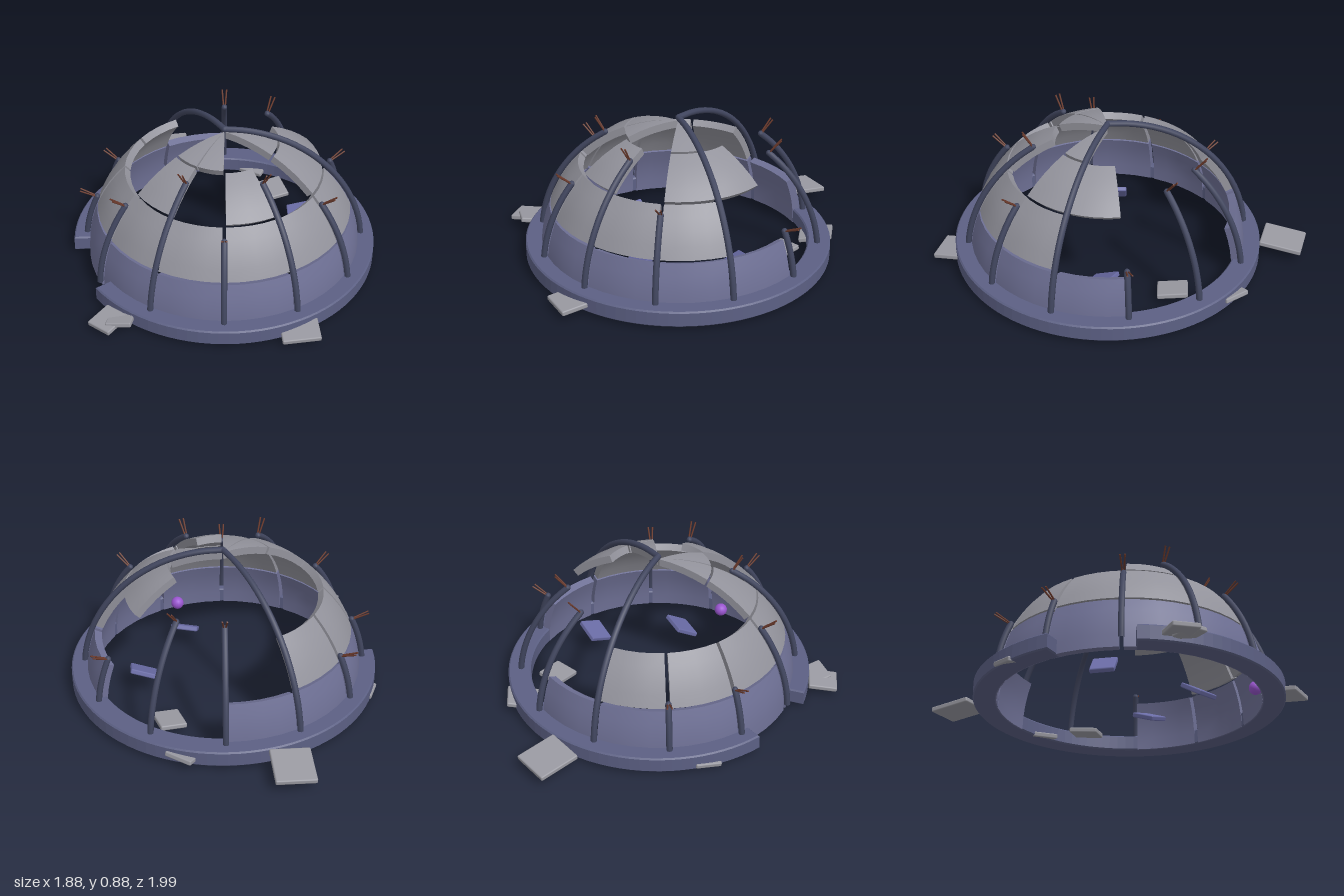
import * as THREE from 'three';
import { RoundedBoxGeometry } from 'three/addons/geometries/RoundedBoxGeometry.js';

const RAD = Math.PI / 180;
const BASE_Y = 0.03;
const mat = (color) => new THREE.MeshStandardMaterial({ color });

// Point on the dome: azimuth 0 = +x, 90 = +z (front); latitude 90 = apex
function domePoint(az, lat, r) {
  const c = Math.cos(lat * RAD) * r;
  return new THREE.Vector3(c * Math.cos(az * RAD), BASE_Y + r * Math.sin(lat * RAD), c * Math.sin(az * RAD));
}

// Thick curved shell panel: a box bent onto the sphere
function panelGeometry(az0, az1, lat0, lat1, r0, r1) {
  const g = new THREE.BoxGeometry(1, 1, 1, 4, 4, 1);
  const p = g.attributes.position;
  for (let i = 0; i < p.count; i++) {
    const v = domePoint(
      THREE.MathUtils.lerp(az1, az0, p.getX(i) + 0.5),
      THREE.MathUtils.lerp(lat0, lat1, p.getY(i) + 0.5),
      THREE.MathUtils.lerp(r0, r1, p.getZ(i) + 0.5));
    p.setXYZ(i, v.x, v.y, v.z);
  }
  g.computeVertexNormals();
  return g;
}

export function createModel() {
  const model = new THREE.Group();
  const dome = new THREE.Group();
  dome.name = 'brokenDome';
  dome.position.set(0.03, 0, -0.075);
  model.add(dome);

  const ringMat = mat(0x5c6084), ribMat = mat(0x41465f), rodMat = mat(0x6b3a2c);
  const lowMat = mat(0x6f7196), highMat = mat(0x93939c);
  const slabMat = mat(0x9a9aa2), blueMat = mat(0x6a6ca6), orbMat = mat(0x9a55d0);

  const add = (parent, name, geometry, material) => {
    const m = new THREE.Mesh(geometry, material);
    m.name = name;
    parent.add(m);
    return m;
  };

  // Foundation ring with a missing piece at the front
  const bevel = 0.008;
  const arc = new THREE.Shape();
  const a0 = 146 * RAD, a1 = 474 * RAD;
  arc.absarc(0, 0, 0.91 - bevel, a0, a1, false);
  arc.absarc(0, 0, 0.775 + bevel, a1, a0, true);
  arc.closePath();
  const ringGeo = new THREE.ExtrudeGeometry(arc, {
    depth: 0.095 - 2 * bevel, bevelThickness: bevel, bevelSize: bevel, bevelSegments: 1, curveSegments: 44,
  });
  ringGeo.rotateX(Math.PI / 2);
  add(dome, 'foundationRing', ringGeo, ringMat).position.y = 0.122 - bevel;

  // Surviving shell panels: tiers present in each 30 degree sector
  const tiers = {
    0: [0, 1], 30: [0, 1, 2], 60: [0, 1, 3], 90: [0, 1, 2, 3], 120: [0, 1], 150: [0, 1],
    180: [0, 1], 210: [0], 300: [0, 2], 330: [0, 1, 2, 3],
  };
  for (const [key, list] of Object.entries(tiers)) {
    const az = Number(key);
    for (const t of list) {
      const top = t === 3 ? 89.5 : (t + 1) * 22.5 - 0.5;
      const geo = panelGeometry(az + 0.9, az + 29.1, t * 22.5 + (t ? 0.5 : 0), top, 0.775, 0.82);
      add(dome, 'shellPanel', geo, t ? highMat : lowMat);
    }
  }

  // Ribs: latitude at which each one ends (90 = reaches the apex)
  const ribEnds = [40, 59, 39, 59, 39, 25, 25, 90, 51, 51, 25, 90];
  ribEnds.forEach((end, i) => {
    const az = i * 30;
    const rib = new THREE.Group();
    rib.name = 'rib';
    dome.add(rib);
    const pts = [];
    for (let k = 0; k <= 10; k++) pts.push(domePoint(az, 3 + (end - 3) * k / 10, 0.838));
    add(rib, 'ribBeam', new THREE.TubeGeometry(new THREE.CatmullRomCurve3(pts), 24, 0.018, 8), ribMat);
    add(rib, 'ribTip', new THREE.SphereGeometry(0.018, 8, 6), ribMat).position.copy(pts[10]);
    if (end === 90) return;
    // Bare reinforcing rods sticking out of the broken end
    const out = domePoint(az, end, 1).sub(new THREE.Vector3(0, BASE_Y, 0));
    const side = new THREE.Vector3(-Math.sin(az * RAD), 0, Math.cos(az * RAD));
    for (const s of [-1, 1]) {
      const rod = add(rib, 'reinforcingRod', new THREE.CylinderGeometry(0.005, 0.005, 0.12, 6), rodMat);
      rod.position.copy(pts[10]).addScaledVector(out, 0.05).addScaledVector(side, s * 0.009);
      rod.quaternion.setFromUnitVectors(new THREE.Vector3(0, 1, 0), out.clone().addScaledVector(side, s * 0.08).normalize());
    }
  });

  // Fallen slabs: x, y, z, width, depth, yaw, pitch, roll, material
  const slabs = [
    [-0.775, 0.09, -0.75, 0.25, 0.23, -0.94, 0.05, 0.1, slabMat],
    [-0.19, 0.06, -0.89, 0.165, 0.2, 0, 0.2, 0.05, slabMat],
    [0.04, 0.06, -0.69, 0.175, 0.155, -0.72, 0.1, -0.1, slabMat],
    [-0.315, 0.07, 0.29, 0.143, 0.14, -0.68, 0.85, 0, blueMat],
    [0.4, 0.12, 0.095, 0.165, 0.16, 0.46, 0.55, 0.1, blueMat],
    [0.36, 0.14, -0.45, 0.16, 0.15, 0.6, 0.35, 0.3, blueMat],
    [-0.165, 0.065, 0.9, 0.16, 0.17, -0.15, 0.1, 0.05, slabMat],
    [-0.1, 0.075, 0.87, 0.15, 0.13, 0.35, -0.15, 0.15, slabMat],
    [0.81, 0.06, 0.42, 0.22, 0.17, 0.64, 0.1, 0.05, slabMat],
    [-0.8, 0.05, 0.13, 0.13, 0.15, 0.2, 0.1, 0.15, slabMat],
  ];
  for (const [x, y, z, w, d, yaw, pitch, roll, m] of slabs) {
    const slab = add(model, 'fallenSlab', new RoundedBoxGeometry(w, 0.03, d, 1, 0.008), m);
    slab.position.set(x, y, z);
    slab.rotation.set(pitch, yaw, roll, 'YXZ');
  }

  // Small orb resting inside against the wall
  add(model, 'orb', new THREE.SphereGeometry(0.04, 16, 12), orbMat).position.set(0.62, 0.08, 0.37);

  return model;
}
